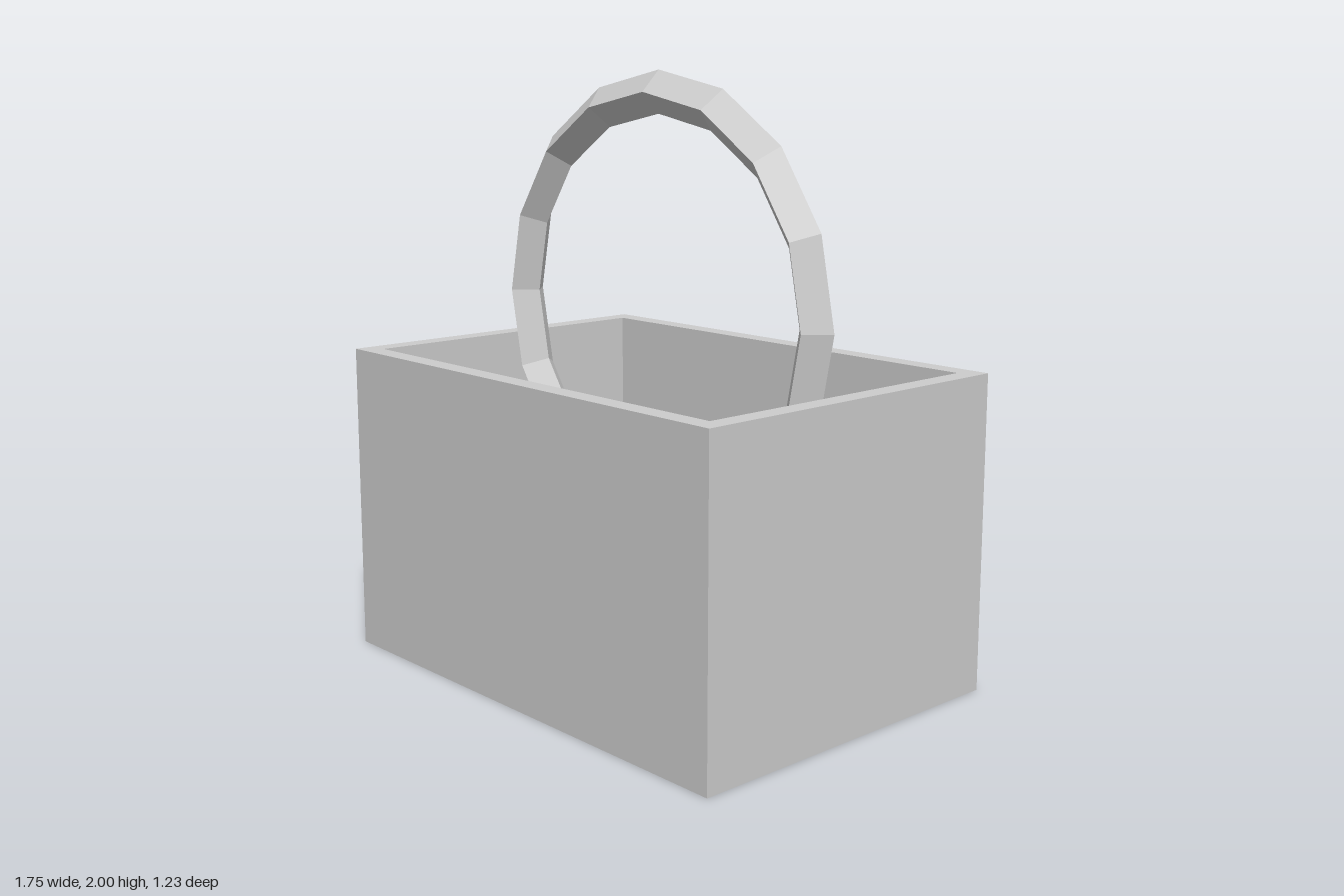
import * as THREE from 'three';

const WIDTH = 1.75, DEPTH = 1.226, HEIGHT = 1.055, WALL = 0.068;

// Traces a centred rectangle on a shape or hole path
function rectangle(path, w, d) {
  path.moveTo(-w / 2, -d / 2);
  path.lineTo(w / 2, -d / 2);
  path.lineTo(w / 2, d / 2);
  path.lineTo(-w / 2, d / 2);
  path.closePath();
  return path;
}

export function createModel() {
  const group = new THREE.Group();
  group.name = 'basket';
  const grey = new THREE.MeshStandardMaterial({ color: 0xcccccc, flatShading: true });
  grey.name = 'light grey';

  const add = (name, geometry) => {
    const mesh = new THREE.Mesh(geometry, grey);
    mesh.name = name;
    group.add(mesh);
    return mesh;
  };

  const innerW = WIDTH - 2 * WALL, innerD = DEPTH - 2 * WALL;

  // Four walls: a rectangular frame extruded upwards
  const frame = rectangle(new THREE.Shape(), WIDTH, DEPTH);
  frame.holes.push(rectangle(new THREE.Path(), innerW, innerD));
  const walls = new THREE.ExtrudeGeometry(frame, { depth: HEIGHT, bevelEnabled: false });
  walls.rotateX(-Math.PI / 2);
  add('walls', walls);

  // Floor plate set between the walls
  add('floor', new THREE.BoxGeometry(innerW, WALL, innerD)).position.y = WALL / 2;

  // Ring handle with a diamond section, its lower half inside the box
  add('handle', new THREE.TorusGeometry(0.7, 0.07, 4, 16)).position.y = 1.23;

  return group;
}
